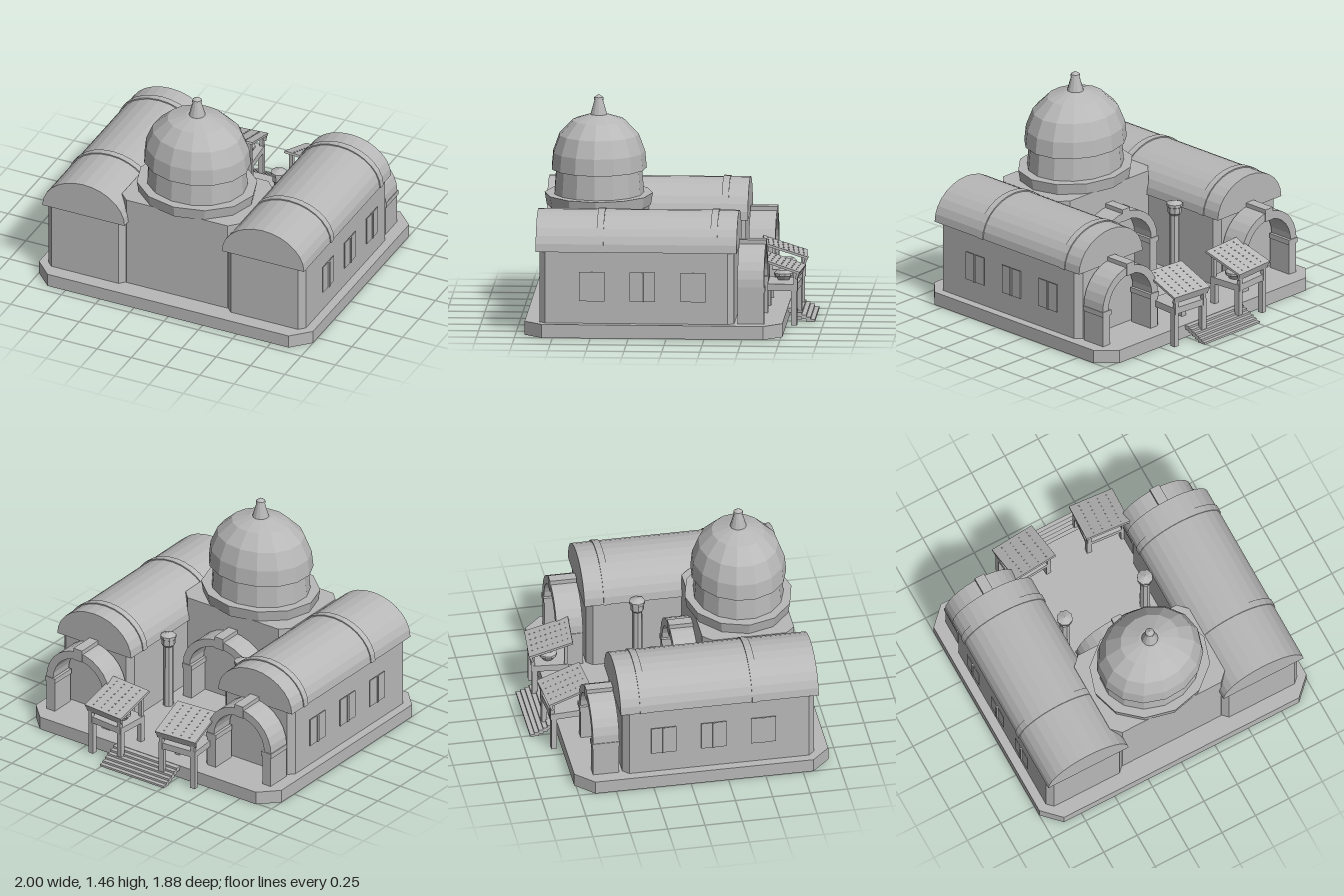
import * as THREE from 'three';

const stone = new THREE.MeshStandardMaterial({ color: 0xb8b8b8, flatShading: true });
stone.name = 'stone grey';

function add(parent, name, geometry, x = 0, y = 0, z = 0) {
  const mesh = new THREE.Mesh(geometry, stone);
  mesh.name = name;
  mesh.position.set(x, y, z);
  parent.add(mesh);
  return mesh;
}

// Box given by its limits on each axis
function box(parent, name, x0, x1, y0, y1, z0, z1) {
  return add(parent, name, new THREE.BoxGeometry(x1 - x0, y1 - y0, z1 - z0),
    (x0 + x1) / 2, (y0 + y1) / 2, (z0 + z1) / 2);
}

// Rectangle with cut corners, c is the cut
function cutOutline(x0, x1, z0, z1, c) {
  const pts = [[x0 + c, z0], [x1 - c, z0], [x1, z0 + c], [x1, z1 - c],
    [x1 - c, z1], [x0 + c, z1], [x0, z1 - c], [x0, z0 + c]];
  return pts.map(([x, z]) => new THREE.Vector2(x, -z));
}

// Upright block with cut corners; a wall thickness makes it an open rim
function cutBlock(parent, name, x0, x1, y0, y1, z0, z1, c, wall = 0) {
  const shape = new THREE.Shape(cutOutline(x0, x1, z0, z1, c));
  if (wall) {
    const inner = cutOutline(x0 + wall, x1 - wall, z0 + wall, z1 - wall, c);
    shape.holes.push(new THREE.Path(inner.reverse()));
  }
  const geo = new THREE.ExtrudeGeometry(shape, { depth: y1 - y0, bevelEnabled: false });
  geo.rotateX(-Math.PI / 2);
  return add(parent, name, geo, 0, y0, 0);
}

// Half ellipse extruded along z, optionally hollow
function vault(parent, name, x, y, z0, z1, rx, ry, thick = 0) {
  const shape = new THREE.Shape();
  shape.absellipse(0, 0, rx, ry, 0, Math.PI, false);
  if (thick) shape.absellipse(0, 0, rx - thick, ry - thick, Math.PI, 0, true);
  shape.closePath();
  const geo = new THREE.ExtrudeGeometry(shape, { depth: z1 - z0, bevelEnabled: false, curveSegments: 7 });
  return add(parent, name, geo, x, y, z0);
}

function lathe(parent, name, profile, segments, start = 0) {
  const pts = profile.map(([r, y]) => new THREE.Vector2(r, y));
  return add(parent, name, new THREE.LatheGeometry(pts, segments, start));
}

// Long hall with barrel roof and windows on its outer wall
function makeWing(side) {
  const g = new THREE.Group();
  g.name = 'wing';
  const cx = side * 0.655;
  cutBlock(g, 'wingWalls', cx - 0.285, cx + 0.285, 0.09, 0.566, -0.443, 0.84, 0.04);
  vault(g, 'barrelRoof', cx, 0.565, -0.462, 0.863, 0.3, 0.238);
  for (const z of [0.44, -0.31]) vault(g, 'roofBand', cx, 0.565, z - 0.023, z + 0.023, 0.307, 0.246);
  for (const z of [0.492, 0.16, -0.175]) {
    for (const s of [-1, 1]) {
      const mid = z + s * 0.0455;
      box(g, 'windowPanel', side * 0.954 - 0.003, side * 0.954 + 0.003, 0.24, 0.435, mid - 0.038, mid + 0.038);
    }
    box(g, 'windowBar', side * 0.9585 - 0.0065, side * 0.9585 + 0.0065, 0.24, 0.435, z - 0.0075, z + 0.0075);
  }
  return g;
}

// Arched porch running from z0 (outer) to z1
function makePorch(cx, z0, z1, half) {
  const g = new THREE.Group();
  g.name = 'porch';
  vault(g, 'arch', cx, 0.33, z0, z1, half, 0.26, 0.055);
  for (const s of [-1, 1]) {
    const px = cx + s * (half - 0.036);
    box(g, 'pier', px - 0.033, px + 0.033, 0.09, 0.3, z0, z1);
    box(g, 'impost', px - 0.04, px + 0.04, 0.3, 0.335, z0 - 0.006, z1);
  }
  box(g, 'keystone', cx - 0.035, cx + 0.035, 0.53, 0.615, z0 - 0.004, z1);
  return g;
}

// Market stall with sloping plank roof, counter and bowl
function makeStall(side) {
  const g = new THREE.Group();
  g.name = 'stall';
  box(g, 'counter', -0.14, 0.14, 0.23, 0.275, -0.125, 0.115);
  for (const s of [-1, 1]) {
    const x = s * 0.122;
    box(g, 'frontLeg', x - 0.018, x + 0.018, 0, 0.23, -0.125, -0.089);
    box(g, 'backLeg', x - 0.018, x + 0.018, 0, 0.23, 0.079, 0.115);
    box(g, 'frontPost', x - 0.013, x + 0.013, 0.23, 0.355, -0.13, -0.104);
    box(g, 'backPost', x - 0.013, x + 0.013, 0.23, 0.43, 0.089, 0.115);
  }
  const roof = new THREE.Group();
  roof.name = 'stallRoof';
  roof.position.set(0, 0.4, 0);
  roof.rotation.x = -0.32;
  g.add(roof);
  box(roof, 'roofBoard', -0.156, 0.156, -0.008, 0.008, -0.152, 0.152);
  box(roof, 'roofFascia', -0.15, 0.15, -0.045, -0.008, -0.15, -0.135);
  for (const x of [-0.095, -0.03, 0.035, 0.1]) {
    for (let i = 0; i < 8; i++) {
      const z = -0.122 + i * 0.035;
      box(roof, 'nail', x - 0.004, x + 0.004, 0.008, 0.012, z - 0.004, z + 0.004);
    }
  }
  const bowl = lathe(g, 'bowl', [[0, 0.275], [0.038, 0.275], [0.053, 0.298], [0.062, 0.303],
    [0.062, 0.32], [0.042, 0.341], [0, 0.341]], 10);
  bowl.position.set(-side * 0.05, 0, -0.012);
  g.position.set(side * 0.283, 0, -0.715);
  g.rotation.y = -side * 0.08;
  return g;
}

export function createModel() {
  const model = new THREE.Group();
  model.name = 'domedHall';

  // Platform, open underneath, and steps of thin treads
  cutBlock(model, 'platformTop', -1, 1, 0.084, 0.09, -0.76, 0.94, 0.12);
  cutBlock(model, 'platformRim', -1, 1, 0, 0.084, -0.76, 0.94, 0.12, 0.005);
  for (let i = 0; i < 6; i++) {
    const z = -0.94 + i * 0.029;
    box(model, 'step', -0.26, 0.26, 0.0145 * i, 0.0145 * (i + 1), z, Math.min(z + 0.06, -0.76));
  }

  // Central hall and dome, slightly narrower front to back
  cutBlock(model, 'centralHall', -0.43, 0.43, 0.09, 0.73, 0.19, 0.805, 0.06);
  const dome = new THREE.Group();
  dome.name = 'domeTower';
  dome.position.z = 0.5;
  dome.scale.z = 0.87;
  model.add(dome);
  lathe(dome, 'domePlinth', [[0, 0.725], [0.395, 0.725], [0.41, 0.805], [0, 0.805]], 12);
  const turn = THREE.MathUtils.degToRad(16);
  lathe(dome, 'drum', [[0.342, 0.805], [0.328, 0.972]], 15, turn);
  lathe(dome, 'domeShell', [[0.32, 0.97], [0.363, 0.97], [0.351, 1.08], [0.302, 1.195],
    [0.2, 1.288], [0.075, 1.325], [0, 1.33]], 15, turn);
  const finial = lathe(model, 'finial', [[0.058, 1.315], [0.027, 1.425], [0.033, 1.425],
    [0.03, 1.44], [0, 1.46]], 12);
  finial.position.z = 0.5;

  // Porches
  model.add(makePorch(0, 0.035, 0.2, 0.295));

  for (const side of [-1, 1]) {
    model.add(makeWing(side));
    model.add(makePorch(side * 0.655, -0.64, -0.465, 0.26));
    model.add(makeStall(side));

    // Courtyard pillar
    const pillar = lathe(model, 'pillar', [[0, 0.082], [0.036, 0.082], [0.034, 0.53], [0.046, 0.545],
      [0.046, 0.585], [0.054, 0.59], [0.054, 0.61], [0, 0.63]], 8);
    pillar.position.set(side * 0.3, 0, -0.12);
  }
  return model;
}
